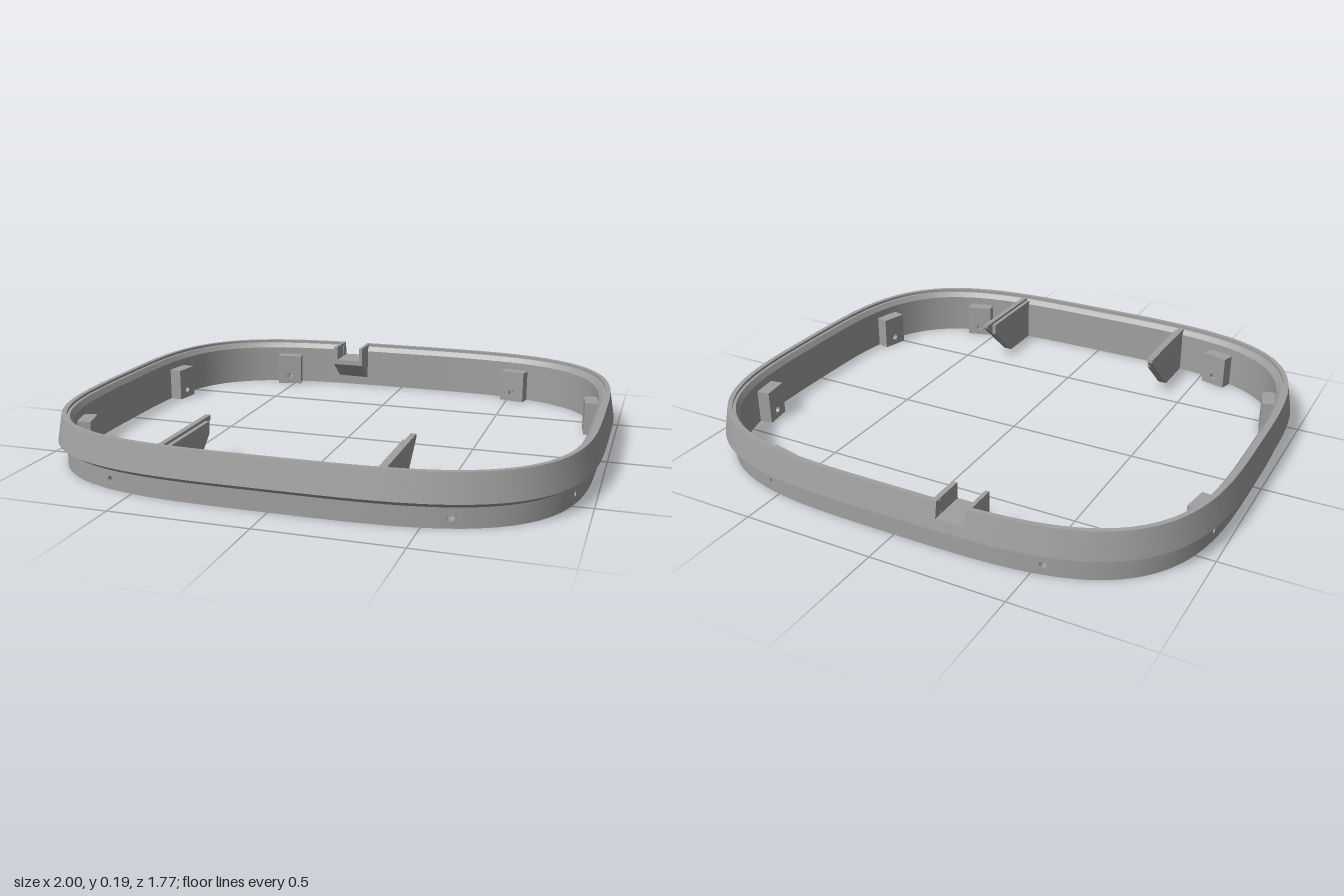
import * as THREE from 'three';
import { mergeGeometries } from 'three/addons/utils/BufferGeometryUtils.js';

const A = 1, B = 0.885, N = 3.5; // rounded-square outline
const NOTCH = [-0.285, -0.18];   // cable notch in the back wall
const HOLE_Y = 0.035, HOLE_R = 0.013, HOLE_SPAN = 0.03;

const grey = new THREE.MeshStandardMaterial({ color: 0xa0a0a0, side: THREE.DoubleSide });
grey.name = 'grey plastic';

// Point and outward direction on the outline at an angle
function outline(t) {
  const c = Math.cos(t), s = Math.sin(t);
  const r = Math.pow(Math.abs(c / A) ** N + Math.abs(s / B) ** N, -1 / N);
  const x = r * c, z = r * s;
  const nx = Math.sign(x) * Math.abs(x) ** (N - 1) / A ** N;
  const nz = Math.sign(z) * Math.abs(z) ** (N - 1) / B ** N;
  const l = Math.hypot(nx, nz);
  return { x, z, nx: nx / l, nz: nz / l };
}

// Position at an angle, a depth inward from the outline, and a height
function place(t, d, y) {
  const p = outline(t);
  return [p.x - p.nx * d, y, p.z - p.nz * d];
}

const wrap = t => (t + 2 * Math.PI) % (2 * Math.PI);
const angleAtX = (x, side) => wrap(Math.atan2(side * B * (1 - Math.abs(x / A) ** N) ** (1 / N), x));
const angleAtZ = (z, side) => wrap(Math.atan2(z, side * A * (1 - Math.abs(z / B) ** N) ** (1 / N)));

function bend(geo, rule) {
  const p = geo.attributes.position;
  for (let i = 0; i < p.count; i++) p.setXYZ(i, ...rule(p.getX(i), p.getY(i), p.getZ(i)));
  geo.computeVertexNormals();
  return geo;
}

function polygon(points) {
  return new THREE.Shape(points.map(p => new THREE.Vector2(...p)));
}

function rectangle(w, h, withHole) {
  const s = polygon([[-w / 2, 0], [w / 2, 0], [w / 2, h], [-w / 2, h]]);
  if (withHole) s.holes.push(new THREE.Path().absarc(0, HOLE_Y, HOLE_R, 0, Math.PI * 2, true));
  return s;
}

// Ring wall swept around the outline, open at the notch and the screw holes
function buildRing(holes) {
  const notch = NOTCH.map(x => angleAtX(x, -1));
  const stations = [...notch];
  const ranges = holes.map(t => [t - HOLE_SPAN, t + HOLE_SPAN]);
  ranges.forEach(r => stations.push(...r));
  for (let i = 0; i < 180; i++) {
    const t = i / 180 * Math.PI * 2;
    if (stations.every(s => Math.abs(s - t) > 0.004)) stations.push(t);
  }
  stations.sort((a, b) => a - b);
  const n = stations.length;
  const mid = i => (stations[i] + (i + 1 < n ? stations[i + 1] : 2 * Math.PI + stations[0])) / 2;
  const inNotch = i => mid(i) > notch[0] && mid(i) < notch[1];
  const inHole = i => ranges.some(r => mid(i) > r[0] && mid(i) < r[1]);

  // Cross-section as [depth, height], up the outside and down the inside
  const profile = [[0.03, 0], [0.03, 0.07], [0, 0.09], [0.0072, 0.13], [0.018, 0.19], [0.036, 0.19],
    [0.036, 0.18], [0.047, 0.18], [0.06, 0.16], [0.06, 0.13], [0.06, 0.07], [0.06, 0]];
  const parts = [];
  function strip(p, q, keep) {
    const pos = [], idx = [];
    stations.forEach(t => pos.push(...place(t, ...p), ...place(t, ...q)));
    for (let i = 0; i < n; i++) {
      if (!keep(i)) continue;
      const a = 2 * i, b = 2 * ((i + 1) % n);
      idx.push(a, a + 1, b, b, a + 1, b + 1);
    }
    const g = new THREE.BufferGeometry();
    g.setAttribute('position', new THREE.Float32BufferAttribute(pos, 3));
    g.setIndex(idx);
    g.computeVertexNormals();
    parts.push(g);
  }
  profile.forEach((p, j) => {
    const upper = j >= 3 && j <= 8, lower = j === 0 || j === 10;
    strip(p, profile[(j + 1) % profile.length],
      i => !(upper && inNotch(i)) && !(lower && inHole(i)));
  });
  strip(profile[3], profile[9], inNotch); // notch floor

  // Notch ends
  const bare = g => { g.deleteAttribute('uv'); return g; };
  notch.forEach(t => parts.push(bare(bend(new THREE.ShapeGeometry(polygon(profile.slice(3, 10))),
    (d, y) => place(t, d, y)))));

  // Outer panels pierced by the screw holes
  holes.forEach(t => {
    const a = place(t - HOLE_SPAN, 0.03, 0), b = place(t + HOLE_SPAN, 0.03, 0);
    const w = Math.hypot(a[0] - b[0], a[2] - b[2]);
    parts.push(bare(bend(new THREE.ShapeGeometry(rectangle(w, 0.07, true), 16),
      (u, y) => place(t - u / w * 2 * HOLE_SPAN, 0.03, y))));
  });
  return mergeGeometries(parts);
}

// Screw block with a cross hole and a nut slot open at the bottom
function buildBlock(t) {
  const w = 0.105, h = 0.13, s = 0.03;
  const pierced = rectangle(w, h, true);
  const slotted = polygon([[-w / 2, 0], [-s, 0], [-s, 0.065], [s, 0.065], [s, 0], [w / 2, 0], [w / 2, h], [-w / 2, h]]);
  const block = new THREE.Group();
  [[pierced, 0.035, 0.072], [slotted, 0.072, 0.092], [pierced, 0.092, 0.112]].forEach(([shape, d0, d1]) => {
    const g = new THREE.ExtrudeGeometry(shape, { depth: d1 - d0, bevelEnabled: false, curveSegments: 16 });
    g.translate(0, 0, d0);
    const m = new THREE.Mesh(g, grey);
    m.name = 'screwBlockLayer';
    block.add(m);
  });
  const p = outline(t);
  block.position.set(p.x, 0, p.z);
  block.rotation.y = Math.atan2(-p.nx, -p.nz);
  block.name = 'screwBlock';
  return block;
}

// Upright plate from a [z, y] profile between two x positions
function sidePlate(name, points, x0, x1) {
  const g = new THREE.ExtrudeGeometry(polygon(points), { depth: x1 - x0, bevelEnabled: false });
  g.rotateY(-Math.PI / 2).translate(x1, 0, 0);
  const m = new THREE.Mesh(g, grey);
  m.name = name;
  return m;
}

export function createModel() {
  const model = new THREE.Group();
  model.name = 'mountingRing';

  const holes = [];
  for (const s of [-1, 1]) {
    holes.push(angleAtX(s * 0.6, 1), angleAtX(s * 0.545, -1), angleAtZ(0.48, s), angleAtZ(-0.39, s));
  }
  const ring = new THREE.Mesh(buildRing(holes), grey);
  ring.name = 'ringWall';
  model.add(ring);
  holes.forEach(t => model.add(buildBlock(t)));

  // Front support fins: a long plate with a shorter layer on its inner face
  const longFin = [[0.83, 0.002], [0.645, 0.002], [0.455, 0.172], [0.455, 0.185], [0.83, 0.185]];
  const shortFin = [[0.83, 0.002], [0.645, 0.002], [0.5, 0.132], [0.5, 0.175], [0.83, 0.175]];
  model.add(
    sidePlate('rightFin', longFin, -0.395, -0.375), sidePlate('rightFinLayer', shortFin, -0.375, -0.36),
    sidePlate('leftFin', longFin, 0.37, 0.39), sidePlate('leftFinLayer', shortFin, 0.355, 0.37));

  // Back cable channel on a wedge
  const cheek = [[-0.735, 0.19], [-0.735, 0.11], [-0.845, 0.02], [-0.845, 0.19]];
  const floor = [[-0.735, 0.13], [-0.735, 0.11], [-0.845, 0.02], [-0.845, 0.13]];
  model.add(
    sidePlate('channelFloor', floor, ...NOTCH),
    sidePlate('channelCheek', cheek, NOTCH[0] - 0.015, NOTCH[0]),
    sidePlate('channelCheek', cheek, NOTCH[1], NOTCH[1] + 0.015));
  return model;
}
